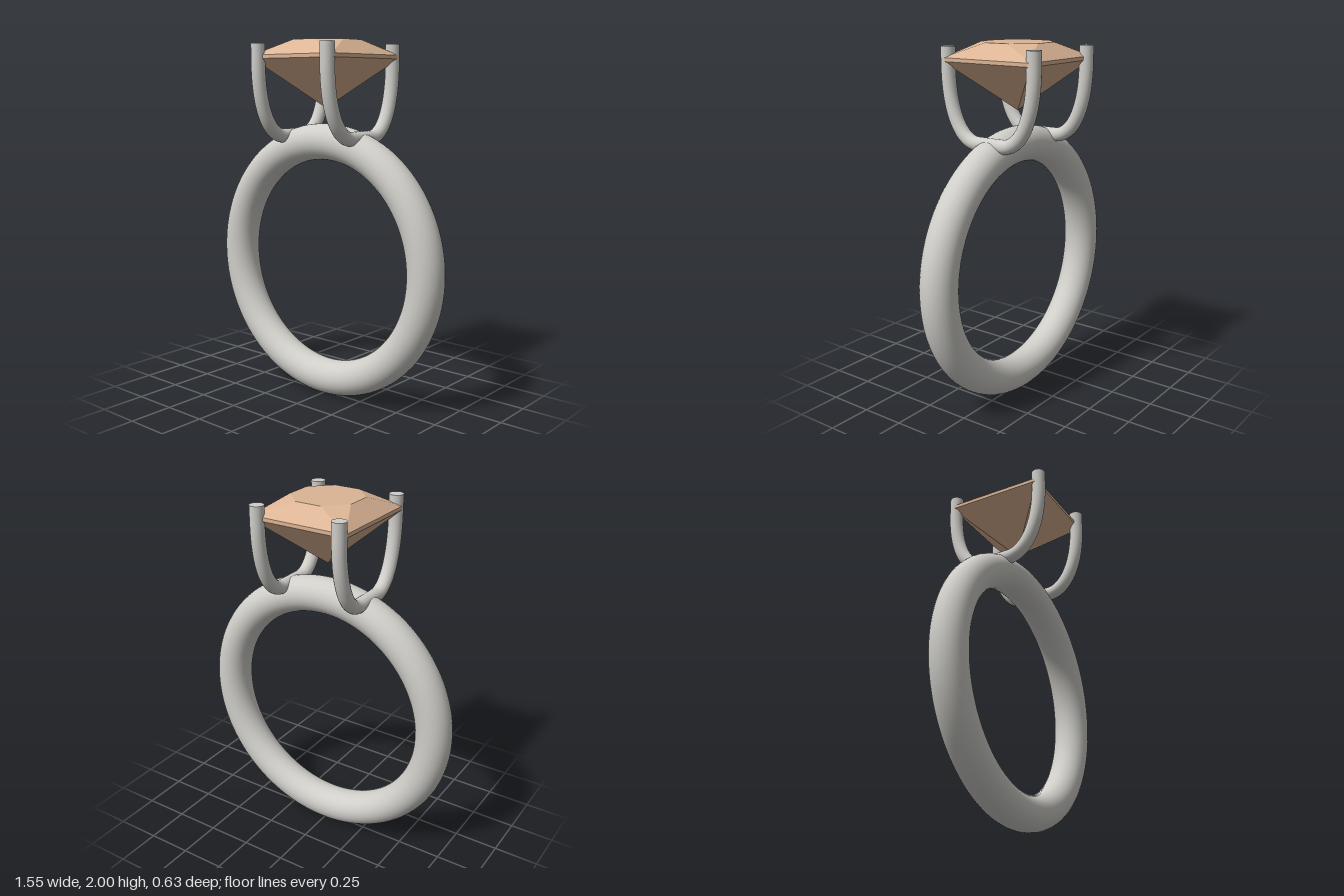
import * as THREE from 'three';

const metal = new THREE.MeshStandardMaterial({ color: 0xcfcec9 });
metal.name = 'silver metal';
const stone = new THREE.MeshStandardMaterial({ color: 0xdcb595, flatShading: true });
stone.name = 'peach stone';

// Square-cut stone: pointed base, thin girdle, chamfered crown, octagonal table
function gemGeometry() {
  const half = 0.282, tableHalf = 0.183, cut = 0.075;
  const ring = y => [[1, 1], [1, -1], [-1, -1], [-1, 1]]
    .map(([sx, sz]) => new THREE.Vector3(sx * half, y, sz * half));
  const low = ring(1.9), high = ring(1.92);
  const apex = new THREE.Vector3(0, 1.635, 0), centre = new THREE.Vector3(0, 2, 0);
  // two table points beside each corner, counter-clockwise from above
  const table = [];
  for (const [sx, sz] of [[1, 1], [1, -1], [-1, -1], [-1, 1]]) {
    const alongZ = new THREE.Vector3(sx * cut, 2, sz * tableHalf);
    const alongX = new THREE.Vector3(sx * tableHalf, 2, sz * cut);
    table.push(...(sx * sz > 0 ? [alongZ, alongX] : [alongX, alongZ]));
  }
  const points = [];
  const tri = (a, b, c) => points.push(a, b, c);
  const quad = (a, b, c, d) => { tri(a, b, c); tri(a, c, d); };
  for (let i = 0; i < 4; i++) {
    const j = (i + 1) % 4;
    tri(apex, low[j], low[i]);
    quad(low[i], low[j], high[j], high[i]);
    tri(high[i], table[2 * i + 1], table[2 * i]);
    quad(high[i], high[j], table[2 * j], table[2 * i + 1]);
    tri(centre, table[2 * i], table[2 * i + 1]);
    tri(centre, table[2 * i + 1], table[2 * j]);
  }
  const geometry = new THREE.BufferGeometry().setFromPoints(points);
  geometry.computeVertexNormals();
  return geometry;
}

// U-shaped wire crossing the band, with an upright prong at each end
function prongPath() {
  const v = (z, y) => new THREE.Vector3(0, y, z);
  const path = new THREE.CurvePath();
  path.add(new THREE.LineCurve3(v(0.278, 1.98), v(0.278, 1.88)));
  path.add(new THREE.CubicBezierCurve3(v(0.278, 1.88), v(0.278, 1.64), v(0.2, 1.477), v(0.08, 1.477)));
  path.add(new THREE.LineCurve3(v(0.08, 1.477), v(-0.08, 1.477)));
  path.add(new THREE.CubicBezierCurve3(v(-0.08, 1.477), v(-0.2, 1.477), v(-0.278, 1.64), v(-0.278, 1.88)));
  path.add(new THREE.LineCurve3(v(-0.278, 1.88), v(-0.278, 1.98)));
  return path;
}

export function createModel() {
  const model = new THREE.Group();
  model.name = 'ring';
  const add = (name, geometry, material, x = 0, y = 0, z = 0) => {
    const mesh = new THREE.Mesh(geometry, material);
    mesh.name = name;
    mesh.position.set(x, y, z);
    model.add(mesh);
    return mesh;
  };

  add('band', new THREE.TorusGeometry(0.675, 0.1, 32, 128), metal, 0, 0.775, 0);

  const wire = new THREE.TubeGeometry(prongPath(), 96, 0.039, 20, false);
  const cap = new THREE.CircleGeometry(0.039, 20).rotateX(-Math.PI / 2);
  for (const [side, x] of [['left', 0.244], ['right', -0.244]]) {
    add(side + 'ProngWire', wire, metal, x);
    for (const [end, z] of [['Front', 0.278], ['Back', -0.278]])
      add(side + end + 'ProngTip', cap, metal, x, 1.98, z);
  }

  add('stone', gemGeometry(), stone);
  return model;
}
